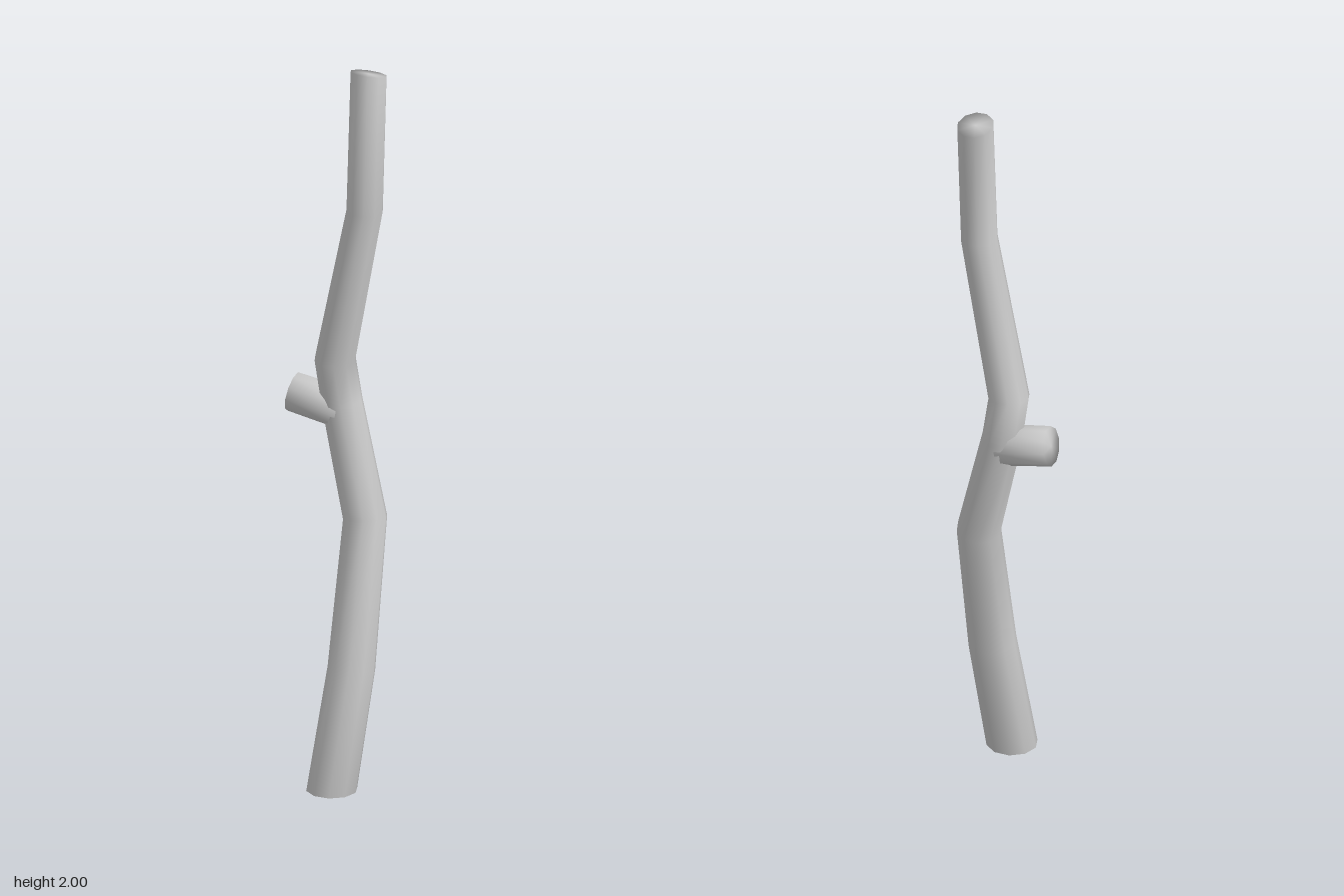
import * as THREE from 'three';

const SIDES = 10;
const V = (x, y, z) => new THREE.Vector3(x, y, z);

// Closed limb skinned over rings [x, y, z, radius]; joints are mitred, ends are capped
function limb(name, rings, material, startDir, endDir) {
  const pts = rings.map(r => V(r[0], r[1], r[2]));
  const last = pts.length - 1;
  const dir = i => pts[i + 1].clone().sub(pts[i]).normalize();
  const positions = [], index = [];
  const side = V(1, 0, 0).applyAxisAngle(V(0, 1, 0), Math.PI / SIDES);

  pts.forEach((p, i) => {
    let t;
    if (i === 0) t = startDir || dir(0);
    else if (i === last) t = endDir || dir(last - 1);
    else t = dir(i - 1).add(dir(i));
    t = t.clone().normalize();
    // Carry the side vector along so the limb does not twist
    side.addScaledVector(t, -side.dot(t)).normalize();
    const across = side.clone().cross(t);
    for (let k = 0; k < SIDES; k++) {
      const a = (k / SIDES) * Math.PI * 2;
      const q = p.clone()
        .addScaledVector(side, Math.cos(a) * rings[i][3])
        .addScaledVector(across, Math.sin(a) * rings[i][3]);
      positions.push(q.x, q.y, q.z);
    }
  });

  // Centre points of the two caps
  const base = positions.length / 3;
  positions.push(...pts[0].toArray(), ...pts[last].toArray());

  for (let k = 0; k < SIDES; k++) {
    const n = (k + 1) % SIDES;
    for (let i = 0; i < last; i++) {
      const a = i * SIDES + k, b = i * SIDES + n;
      index.push(a, a + SIDES, b, b, a + SIDES, b + SIDES);
    }
    index.push(base, k, n);
    index.push(base + 1, last * SIDES + n, last * SIDES + k);
  }

  const geometry = new THREE.BufferGeometry();
  geometry.setAttribute('position', new THREE.Float32BufferAttribute(positions, 3));
  geometry.setIndex(index);
  geometry.computeVertexNormals();
  const mesh = new THREE.Mesh(geometry, material);
  mesh.name = name;
  return mesh;
}

export function createModel() {
  const group = new THREE.Group();
  group.name = 'branch';
  const wood = new THREE.MeshStandardMaterial({ color: 0xcccccc });

  // Crooked main stem, tapering upwards
  group.add(limb('stem', [
    [-0.067, 0, 0.102, 0.069],
    [-0.007, 0.335, 0.102, 0.065],
    [0.066, 0.73, 0.047, 0.06],
    [0.04, 1.04, -0.031, 0.056],
    [0.019, 1.165, -0.031, 0.056],
    [0.052, 1.615, 0.069, 0.05],
    [0.083, 1.988, 0.036, 0.05],
  ], wood, V(0, 1, 0), V(0.22, 1, -0.1)));

  // Short cut-off side shoot
  group.add(limb('sideStub', [
    [0.04, 1.02, -0.028, 0.056],
    [-0.048, 1.047, -0.139, 0.054],
  ], wood));

  return group;
}
